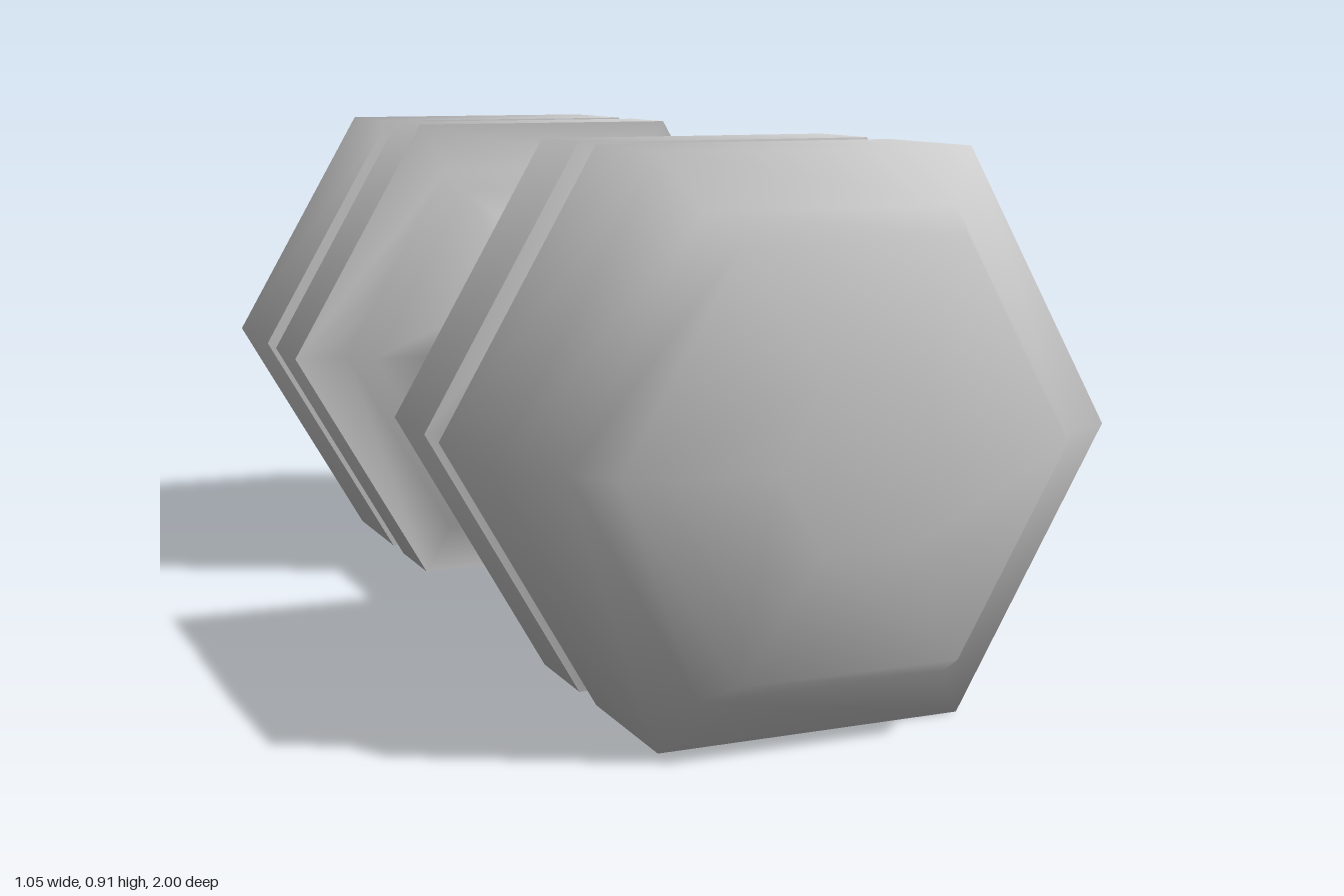
import * as THREE from 'three';

const CENTRE_Y = 0.455;
const material = new THREE.MeshStandardMaterial({ color: 0xcccccc, side: THREE.DoubleSide });

// Six-sided lathe along z with corners at +x and -x; profile points are [corner radius, z].
// Each section is smooth inside itself and sharp where it meets the next.
function hexSection(name, profile) {
  const points = profile.map(([r, z]) => new THREE.Vector2(r, z));
  const geometry = new THREE.LatheGeometry(points, 6, Math.PI / 2);
  geometry.rotateX(Math.PI / 2);
  const mesh = new THREE.Mesh(geometry, material);
  mesh.name = name;
  return mesh;
}

function createHead(name) {
  const head = new THREE.Group();
  head.name = name;
  head.add(
    hexSection('innerBand', [[0.525, 0.345], [0.525, 0.51]]),
    hexSection('groove', [[0.525, 0.51], [0.425, 0.532], [0.425, 0.575]]),
    hexSection('grooveWall', [[0.425, 0.575], [0.525, 0.585]]),
    // wide outer band running smoothly into the domed end
    hexSection('outerWeight', [
      [0.525, 0.585], [0.525, 0.835], [0.425, 0.877],
      [0.375, 0.955], [0.145, 1.0], [0, 1.0],
    ]),
  );
  return head;
}

export function createModel() {
  const model = new THREE.Group();
  model.name = 'dumbbell';

  // Handle flaring into the inner face of each head
  const flare = [[0.15, 0.265], [0.375, 0.298], [0.42, 0.345], [0.525, 0.345]];
  const mirrored = flare.map(([r, z]) => [r, -z]).reverse();
  model.add(hexSection('handle', [...mirrored, ...flare]));

  const frontHead = createHead('frontHead');
  const backHead = createHead('backHead');
  backHead.rotation.y = Math.PI;
  model.add(frontHead, backHead);

  model.children.forEach((part) => { part.position.y = CENTRE_Y; });
  return model;
}
